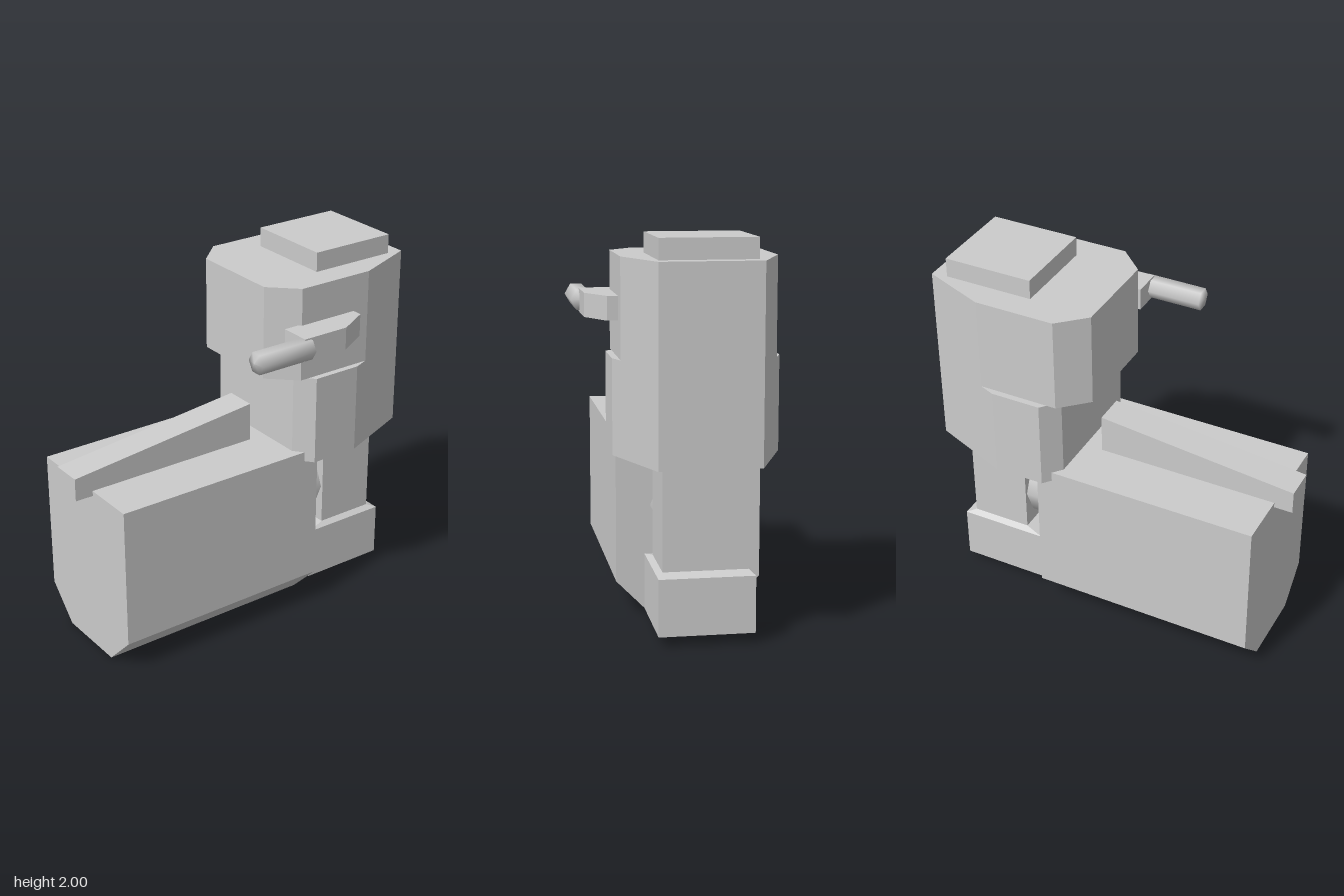
import * as THREE from 'three';

const MID = -0.085; // centre line of the body in x

const material = new THREE.MeshStandardMaterial({ color: 0xcccccc });

function add(parent, name, geometry, x = 0, y = 0, z = 0) {
  const mesh = new THREE.Mesh(geometry, material);
  mesh.name = name;
  mesh.position.set(x, y, z);
  parent.add(mesh);
  return mesh;
}

function extrude(points, depth) {
  const shape = new THREE.Shape(points.map(([a, b]) => new THREE.Vector2(a, b)));
  return new THREE.ExtrudeGeometry(shape, { depth, bevelEnabled: false });
}

// Upright prism from a plan outline of [x, z] points
function planPrism(points, y0, y1) {
  return extrude(points.map(([x, z]) => [x, -z]), y1 - y0).rotateX(-Math.PI / 2).translate(0, y0, 0);
}

// Mirror half an outline about the vertical axis
function mirrored(half) {
  return [...half, ...half.map(([a, b]) => [-a, b]).reverse()];
}

export function createModel() {
  const model = new THREE.Group();
  model.name = 'model';

  // Long body with chamfered lower edges
  const section = mirrored([[0.2025, 0], [0.38, 0.18], [0.38, 0.953]]);
  add(model, 'body', extrude(section, 1.225), MID, 0, -0.34);

  // Sloping ridge along the top of the body
  const ridge = [[-0.107, 0.925], [0.985, 0.925], [0.985, 1.05], [-0.107, 1.165]];
  add(model, 'topRidge', extrude(ridge, 0.172).rotateY(-Math.PI / 2), MID + 0.086);

  // Housing: two stacked octagonal blocks sharing their rear faces
  const tower = new THREE.Group();
  tower.name = 'tower';
  tower.position.x = MID;
  model.add(tower);
  const lower = [[0.328, -0.207], [0.423, -0.287], [0.423, -0.56], [0.255, -0.983]];
  const upper = [[0.255, -0.065], [0.39, -0.207], [0.39, -0.643], [0.255, -0.983]];
  add(tower, 'lowerHousing', planPrism(mirrored(lower), 0.9, 1.388));
  add(tower, 'upperHousing', planPrism(mirrored(upper), 1.388, 1.895));
  add(tower, 'topCap', new THREE.BoxGeometry(0.485, 0.115, 0.485), 0, 1.9425, -0.657);

  // Post, foot and the sloped collar between them
  add(tower, 'post', new THREE.BoxGeometry(0.43, 0.57, 0.33), 0, 0.625, -0.683);
  add(tower, 'foot', new THREE.BoxGeometry(0.485, 0.292, 0.485), 0, 0.199, -0.657);
  const collar = new THREE.BoxGeometry(0.485, 0.022, 0.485);
  const pos = collar.attributes.position;
  for (let i = 0; i < pos.count; i++) {
    if (pos.getY(i) > 0) {
      pos.setX(i, Math.sign(pos.getX(i)) * 0.215);
      pos.setZ(i, Math.sign(pos.getZ(i)) * 0.165 - 0.026);
    }
  }
  collar.computeVertexNormals();
  add(tower, 'footCollar', collar, 0, 0.356, -0.657);

  // Eight-sided joint between post and body
  const joint = new THREE.CylinderGeometry(0.202, 0.202, 0.2, 8).rotateX(Math.PI / 2);
  add(tower, 'joint', joint, 0, 0.583, -0.43);

  // Side crank: bent arm with a six-sided handle
  const crank = new THREE.Group();
  crank.name = 'crank';
  model.add(crank);
  const arm = [[0.29, -0.11], [0.455, -0.11], [0.455, -0.375], [0.36, -0.548], [0.29, -0.548]];
  add(crank, 'crankArm', planPrism(arm, 1.573, 1.695));
  const profile = [[0, -0.177], [0.06, -0.166], [0.06, 0.166], [0, 0.177]]
    .map(([r, h]) => new THREE.Vector2(r, h));
  const handle = new THREE.LatheGeometry(profile, 6).rotateY(Math.PI / 2).rotateX(Math.PI / 2);
  add(crank, 'crankHandle', handle, 0.44, 1.635, 0.018);

  return model;
}
